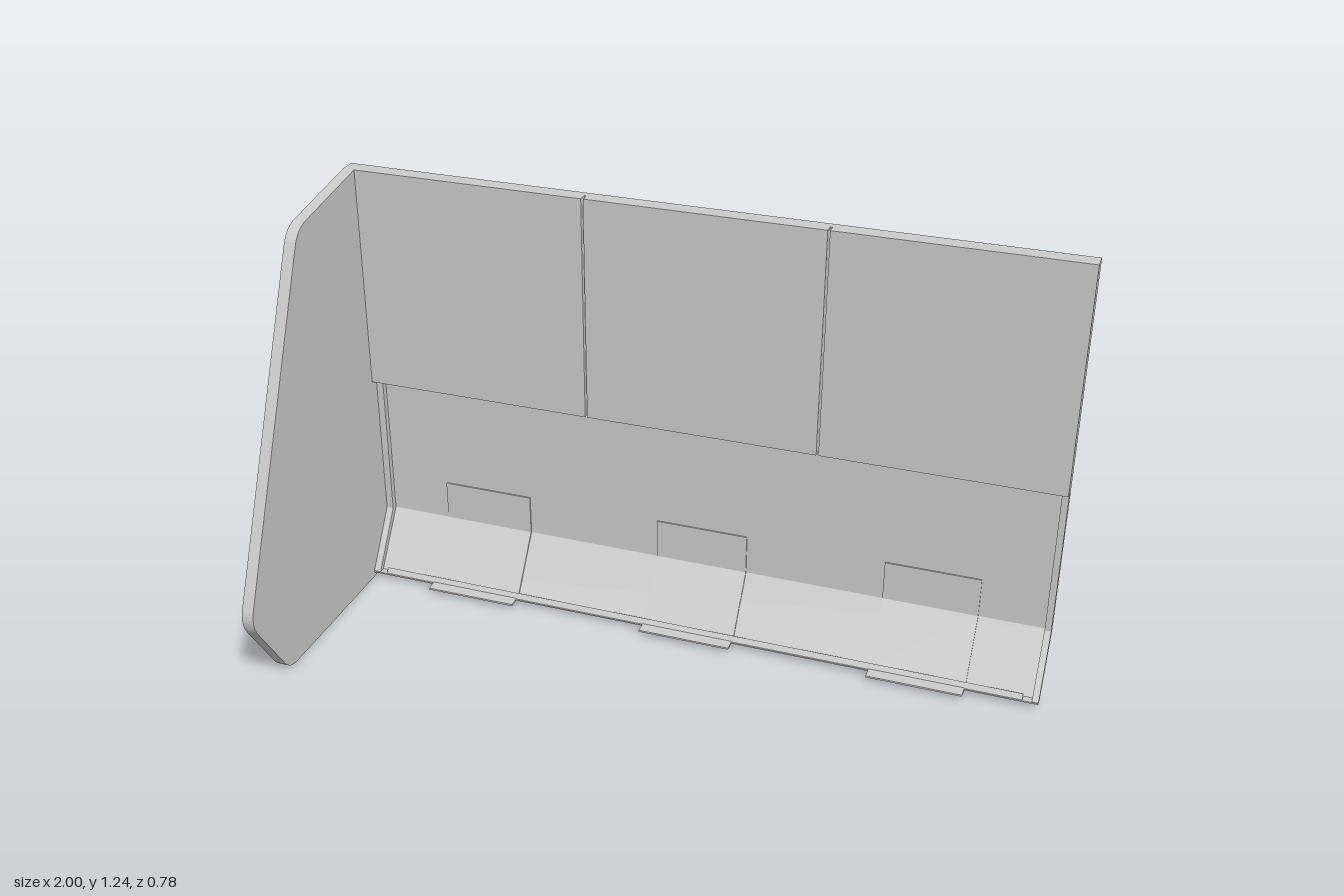
import * as THREE from 'three';

const material = new THREE.MeshStandardMaterial({ color: 0xcccccc, flatShading: true, side: THREE.DoubleSide });

// Outline from [z, y, cornerRadius?] points, extruded along x from x0 to x1
function extrudeX(name, points, x0, x1) {
  const shape = new THREE.Shape();
  const n = points.length;
  points.forEach((p, i) => {
    const at = new THREE.Vector2(p[0], p[1]);
    const r = p[2] || 0;
    const toward = (q) => new THREE.Vector2(q[0], q[1]).sub(at).setLength(r).add(at);
    const a = r ? toward(points[(i + n - 1) % n]) : at;
    if (i === 0) shape.moveTo(a.x, a.y);
    else shape.lineTo(a.x, a.y);
    if (r) {
      const b = toward(points[(i + 1) % n]);
      shape.quadraticCurveTo(at.x, at.y, b.x, b.y);
    }
  });
  const geometry = new THREE.ExtrudeGeometry(shape, { depth: x1 - x0, bevelEnabled: false, curveSegments: 8 });
  geometry.rotateY(-Math.PI / 2).translate(x1, 0, 0);
  const mesh = new THREE.Mesh(geometry, material);
  mesh.name = name;
  return mesh;
}

function box(name, x0, x1, y0, y1, z0, z1) {
  const mesh = new THREE.Mesh(new THREE.BoxGeometry(x1 - x0, y1 - y0, z1 - z0), material);
  mesh.position.set((x0 + x1) / 2, (y0 + y1) / 2, (z0 + z1) / 2);
  mesh.name = name;
  return mesh;
}

export function createModel() {
  const group = new THREE.Group();
  const left = -0.967, right = 0.998;

  // Tall side panel with rounded front corners
  group.add(extrudeX('sidePanel', [
    [-0.387, 0.172], [-0.275, 0.003], [-0.27, 0], [0.247, 0, 0.04], [0.402, 0.235, 0.045],
    [-0.024, 1.183, 0.045], [-0.34, 1.236], [-0.387, 1.236],
  ], -1, left));

  // Thin back sheet, bent forward at the bottom
  group.add(extrudeX('backSheet', [
    [-0.387, 0.172], [-0.279, 0.015], [-0.255, 0.015], [-0.255, 0.019], [-0.276, 0.019],
    [-0.383, 0.174], [-0.383, 1.236], [-0.387, 1.236],
  ], left, right));

  // Raised rims around the back sheet
  const rim = [
    [-0.387, 0.172], [-0.279, 0.015], [-0.255, 0.015], [-0.365, 0.179], [-0.365, 1.236], [-0.387, 1.236],
  ];
  group.add(extrudeX('endRim', rim, left, left + 0.02));
  group.add(extrudeX('endRim', rim, right - 0.018, right));
  group.add(box('topRim', left, right, 1.216, 1.236, -0.386, -0.365));
  group.add(extrudeX('bottomLip', [
    [-0.255, 0.015], [-0.266, 0.034], [-0.269, 0.032], [-0.259, 0.015],
  ], -0.925, 0.955));

  // Three upper facing panels with narrow seams
  const seams = [left, -0.312, 0.342, right];
  for (let i = 0; i < 3; i++) {
    const x0 = seams[i] + (i > 0 ? 0.003 : 0);
    const x1 = seams[i + 1] - (i < 2 ? 0.003 : 0);
    group.add(box('upperPanel', x0, x1, 0.605, 1.236, -0.365, -0.34));
  }

  // Bent mounting brackets with a foot projecting in front
  for (const x of [-0.64, 0.013, 0.668]) {
    group.add(extrudeX('mountingBracket', [
      [-0.383, 0.174], [-0.276, 0.019], [-0.272, 0.014], [-0.225, 0.014], [-0.225, 0.019],
      [-0.272, 0.021], [-0.379, 0.176], [-0.379, 0.29], [-0.383, 0.29],
    ], x - 0.132, x + 0.132));
  }
  return group;
}
